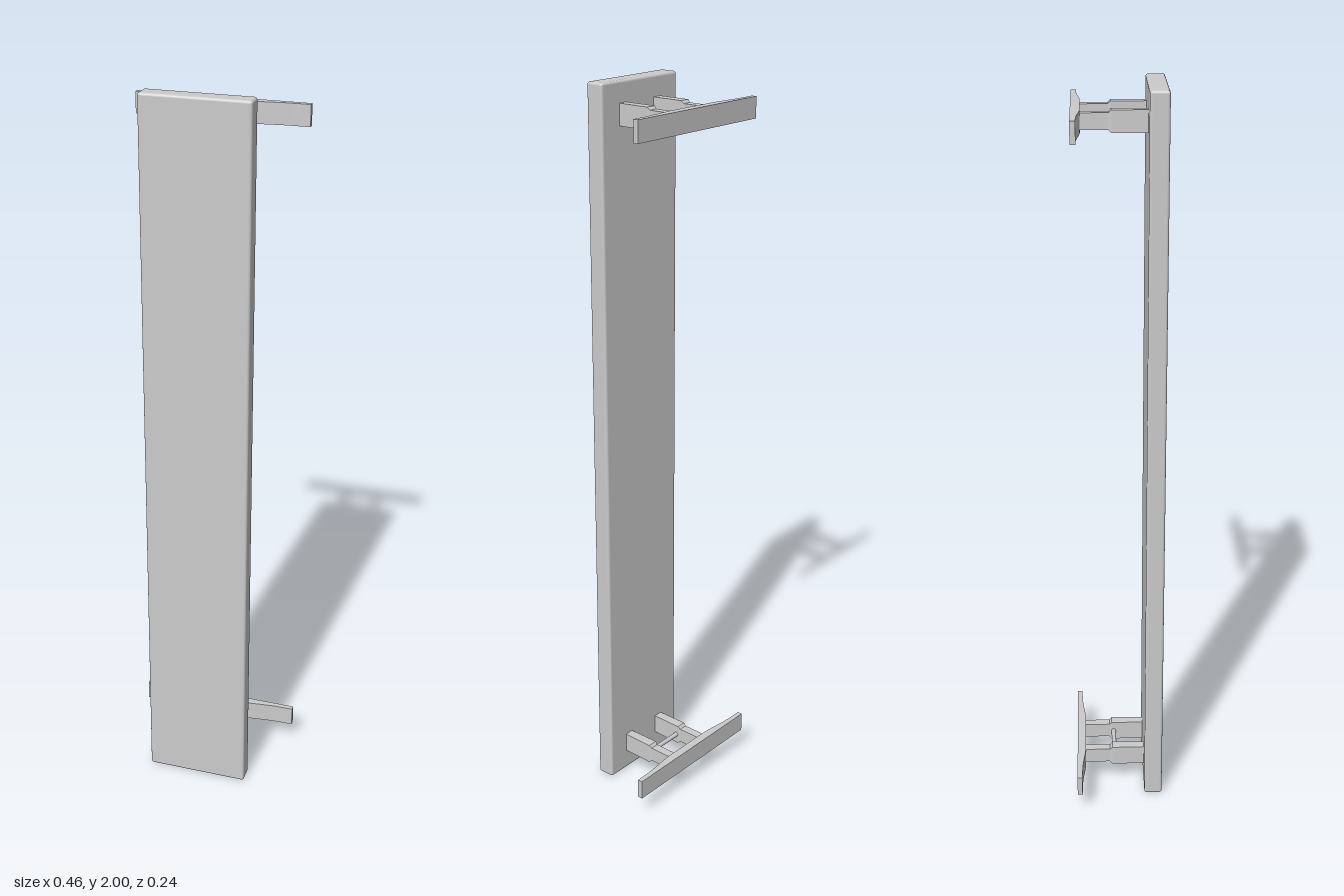
import * as THREE from 'three';
import { RoundedBoxGeometry } from 'three/addons/geometries/RoundedBoxGeometry.js';

const material = new THREE.MeshStandardMaterial({ color: 0xcccccc });
const flatMaterial = new THREE.MeshStandardMaterial({ color: 0xcccccc, flatShading: true });
const HEIGHT = 0.056;

function part(name, geometry, x, y, z, mat = material) {
  const mesh = new THREE.Mesh(geometry, mat);
  mesh.name = name;
  mesh.position.set(x, y, z);
  return mesh;
}

// Foot bar: straight underside, thicker in the middle, easing to thin ends
function footGeometry() {
  const s = new THREE.Shape();
  s.moveTo(-0.229, 0.122);
  s.lineTo(-0.229, 0.108);
  s.lineTo(-0.185, 0.1075);
  s.bezierCurveTo(-0.14, 0.106, -0.115, 0.099, -0.075, 0.098);
  s.lineTo(0.075, 0.098);
  s.bezierCurveTo(0.115, 0.099, 0.14, 0.106, 0.185, 0.1075);
  s.lineTo(0.229, 0.108);
  s.lineTo(0.229, 0.122);
  s.closePath();
  const g = new THREE.ExtrudeGeometry(s, { depth: HEIGHT, bevelEnabled: false, curveSegments: 10 });
  return g.rotateX(-Math.PI / 2).translate(0, -HEIGHT / 2, 0);
}

// Leg: box whose rings along z step down to a slimmer lower section
function legGeometry() {
  const rings = [[0.072, 0.026, HEIGHT], [-0.021, 0.029, HEIGHT], [-0.028, 0.025, 0.042], [-0.1, 0.025, 0.042]];
  const g = new THREE.BoxGeometry(1, 1, 3, 1, 1, 3);
  const p = g.attributes.position;
  for (let i = 0; i < p.count; i++) {
    const [z, w, h] = rings[Math.round(1.5 - p.getZ(i))];
    p.setXYZ(i, p.getX(i) * w, p.getY(i) * h, z);
  }
  g.computeVertexNormals();
  return g;
}

export function createModel() {
  const model = new THREE.Group();
  model.name = 'bench';

  // Long seat plank, standing on its end
  model.add(part('seat', new RoundedBoxGeometry(0.286, 2, 0.05, 3, 0.007), 0, 1, 0.095));

  // One support near each end of the plank
  for (const y of [0.087, 1.917]) {
    const support = new THREE.Group();
    support.name = y < 1 ? 'lowerSupport' : 'upperSupport';
    support.position.y = y;
    support.add(part('foot', footGeometry(), 0, 0, 0));
    for (const side of [-1, 1]) {
      support.add(part(side > 0 ? 'leftLeg' : 'rightLeg', legGeometry(), side * 0.065, 0, 0, flatMaterial));
    }
    // Round rod between the legs
    const rod = new THREE.CylinderGeometry(0.0065, 0.0065, 0.11, 20).rotateZ(Math.PI / 2);
    support.add(part('crossRod', rod, 0, 0, -0.015));
    model.add(support);
  }
  return model;
}
